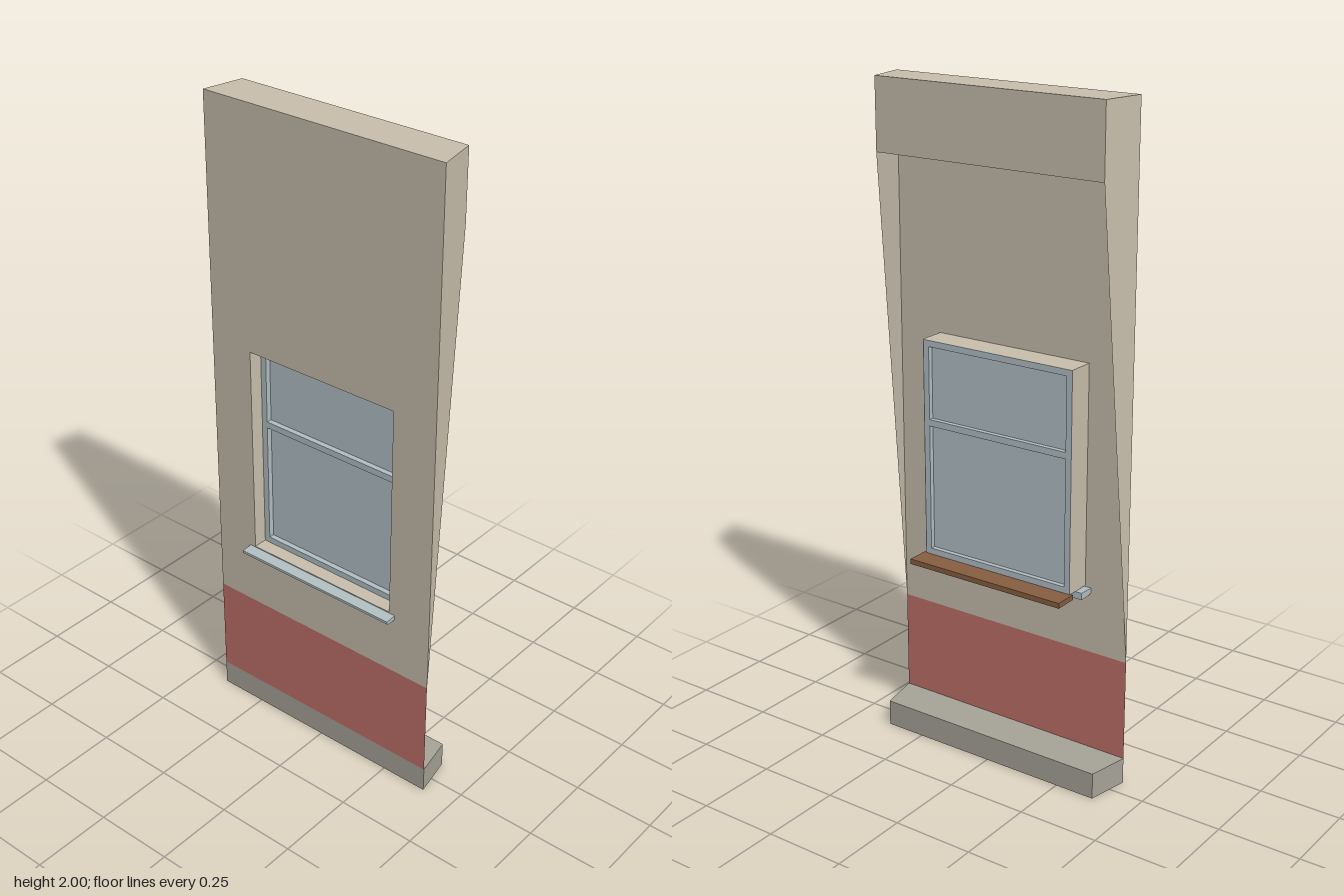
import * as THREE from 'three';

const mat = (name, color) => {
  const m = new THREE.MeshStandardMaterial({ color, side: THREE.DoubleSide });
  m.name = name;
  return m;
};

// Flat panels, each given as four corners [x, y, z]
function panels(quads) {
  const pos = [];
  for (const [a, b, c, d] of quads) pos.push(...a, ...b, ...c, ...a, ...c, ...d);
  const g = new THREE.BufferGeometry();
  g.setAttribute('position', new THREE.Float32BufferAttribute(pos, 3));
  g.computeVertexNormals();
  return g;
}

// Rectangle outline, as a shape or as a hole
function rect(x0, y0, x1, y1, Type = THREE.Shape) {
  const p = new Type();
  p.moveTo(x0, y0);
  p.lineTo(x1, y0);
  p.lineTo(x1, y1);
  p.lineTo(x0, y1);
  p.closePath();
  return p;
}

export function createModel() {
  const plaster = mat('plaster', 0xc9c0ae);
  const red = mat('red paint', 0xc0706a);
  const stone = mat('stone', 0xa8a599);
  const paint = mat('pale blue paint', 0xb3c0c5);
  const glass = mat('glass', 0xb5c3c9);
  const wood = mat('wood', 0x875f41);

  const group = new THREE.Group();
  const add = (name, geometry, material, x = 0, y = 0, z = 0) => {
    const m = new THREE.Mesh(geometry, material);
    m.name = name;
    m.position.set(x, y, z);
    group.add(m);
  };

  const W = 0.4, WB = 0.375;        // half widths at front and back
  const F = 0.055, B = -0.072;      // front and back depth
  const H = 2, beam = 1.79, split = 0.39, baseTop = 0.08;
  const wx = 0.257, wy0 = 0.595, wy1 = 1.26, wz = -0.026; // window opening

  // Front wall with the window opening
  const wall = rect(-W, split, W, H);
  wall.holes.push(rect(-wx, wy0, wx, wy1, THREE.Path));
  add('frontWall', new THREE.ShapeGeometry(wall), plaster, 0, 0, F);
  add('redBand', new THREE.ShapeGeometry(rect(-W, baseTop, W, split)), red, 0, 0, F);

  // Tapered side cheeks
  for (const s of [1, -1]) {
    add(s > 0 ? 'leftCheek' : 'rightCheek', panels([
      [[s * W, split, F], [s * WB, beam, B], [s * WB, H, B], [s * W, H, F]],
    ]), plaster);
  }

  // Top and rear beam
  add('topAndRearBeam', panels([
    [[-W, H, F], [W, H, F], [WB, H, B], [-WB, H, B]],
    [[WB, beam, B], [-WB, beam, B], [-WB, H, B], [WB, H, B]],
  ]), plaster);

  // Plinth, narrowed toward the back
  const plinth = new THREE.BoxGeometry(2 * W, baseTop, F - B).toNonIndexed();
  const p = plinth.attributes.position;
  for (let i = 0; i < p.count; i++) {
    if (p.getZ(i) < 0) p.setX(i, Math.sign(p.getX(i)) * WB);
  }
  plinth.computeVertexNormals();
  add('plinth', plinth, stone, 0, baseTop / 2, (F + B) / 2);

  // Window reveal through the wall
  const corners = [[-wx, wy0], [wx, wy0], [wx, wy1], [-wx, wy1]];
  add('windowReveal', panels(corners.map(([x, y], i) => {
    const [u, v] = corners[(i + 1) % 4];
    return [[x, y, F], [x, y, wz], [u, v, wz], [u, v, F]];
  })), plaster);

  // Window frame with two lights
  const lights = [[0.615, 1.0], [1.02, 1.24]];
  const e = 0.001;
  const frame = rect(-wx + e, wy0 + e, wx - e, wy1 - e);
  for (const [a, b] of lights) frame.holes.push(rect(-0.237, a, 0.237, b, THREE.Path));
  add('windowFrame', new THREE.ExtrudeGeometry(frame, { depth: 0.038, bevelEnabled: false }),
    paint, 0, 0, wz);
  lights.forEach(([a, b], i) => {
    add(i ? 'upperPane' : 'lowerPane', new THREE.BoxGeometry(0.474, b - a, 0.006), glass,
      0, (a + b) / 2, -0.008);
  });

  // Outer sill, profile drawn in depth and height
  const profile = new THREE.Shape([
    [0.005, 0.573], [0.045, 0.573], [0.05, 0.577], [0.085, 0.577],
    [0.09, 0.581], [0.09, 0.589], [0.055, 0.592], [0.005, 0.594],
  ].map(([z, y]) => new THREE.Vector2(-z, y)));
  const sill = new THREE.ExtrudeGeometry(profile, { depth: 0.554, bevelEnabled: false });
  sill.rotateY(Math.PI / 2);
  add('outerSill', sill, paint, -0.277, 0, 0);

  // Inner window board
  add('innerSill', new THREE.BoxGeometry(0.53, 0.016, 0.071), wood, 0, 0.588, -0.0565);

  return group;
}
